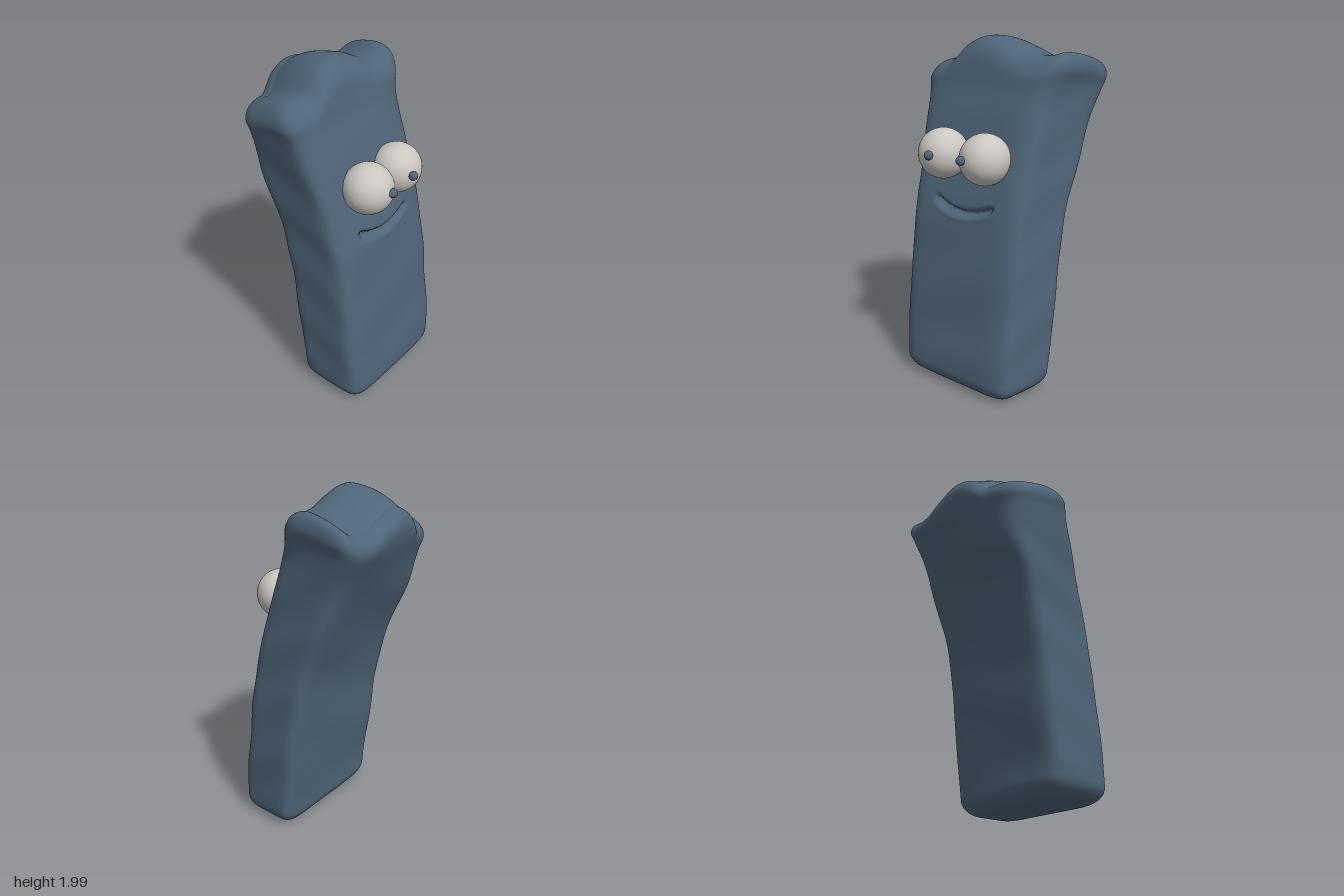
import * as THREE from 'three';

const SEG = 200;

// Smooth interpolation of rows [key, a, b, ...] at a key value
function sample(rows, t) {
  const last = rows.length - 1;
  t = Math.min(Math.max(t, rows[0][0]), rows[last][0]);
  let i = 0;
  while (i < last - 1 && t > rows[i + 1][0]) i++;
  const slope = (n, k) => {
    const a = rows[Math.max(n - 1, 0)], b = rows[Math.min(n + 1, last)];
    return (b[k] - a[k]) / (b[0] - a[0]);
  };
  const d = rows[i + 1][0] - rows[i][0];
  const f = (t - rows[i][0]) / d, f2 = f * f, f3 = f2 * f;
  return rows[i].slice(1).map((v, n) =>
    (2 * f3 - 3 * f2 + 1) * v + (f3 - 2 * f2 + f) * d * slope(i, n + 1)
    + (3 * f2 - 2 * f3) * rows[i + 1][n + 1] + (f3 - f2) * d * slope(i + 1, n + 1));
}

// Lean of the slab: height, centre x, half thickness
const lean = [
  [0, 0.2275, 0.2175], [0.2, 0.221, 0.219], [0.4, 0.194, 0.221], [0.6, 0.17, 0.223],
  [0.8, 0.143, 0.223], [1.0, 0.105, 0.229], [1.2, 0.0435, 0.2385], [1.4, -0.03, 0.25],
  [1.6, -0.1, 0.262], [1.72, -0.145, 0.27], [1.8, -0.165, 0.272], [1.9, -0.185, 0.268],
  [2.0, -0.2, 0.262],
];

// Width of the slab: height, centre z, half width
const width = [
  [0, -0.06, 0.395], [0.2, -0.058, 0.407], [0.6, -0.05, 0.41], [1.0, -0.035, 0.405],
  [1.2, -0.02, 0.41], [1.4, -0.003, 0.418], [1.6, 0.012, 0.427], [1.72, 0.015, 0.443],
  [1.8, 0.012, 0.464], [1.95, 0.008, 0.464],
];

// Wavy height of the top across the width: z, y
const topLine = [
  [-0.47, 1.955], [-0.43, 1.96], [-0.33, 1.915], [-0.2, 1.92], [-0.1, 1.96],
  [0.06, 2.0], [0.18, 1.965], [0.28, 1.87], [0.36, 1.855], [0.47, 1.84],
];

// Path from the middle of the base, up the wall, to the middle of the top
function ringPath() {
  const path = [], R = 0.1, topX = 0.11, topZ = 0.09, topY = 0.12;
  for (let i = 0; i < 10; i++) path.push({ y: 0.01, insetX: R, insetZ: R, q: i / 10 });
  for (let i = 0; i <= 10; i++) {
    const a = i / 10 * Math.PI / 2, inset = R * (1 - Math.sin(a));
    path.push({ y: 0.01 + R * (1 - Math.cos(a)), insetX: inset, insetZ: inset, q: 1 });
  }
  for (let i = 1; i < 140; i++) path.push({ y: 0.11 + 1.67 * i / 140, insetX: 0, insetZ: 0, q: 1 });
  for (let i = 0; i <= 12; i++) {
    const a = i / 12 * Math.PI / 2, inset = 1 - Math.cos(a);
    path.push({ y: 1.9 + topY * (Math.sin(a) - 1), insetX: topX * inset, insetZ: topZ * inset, q: 1 });
  }
  for (let i = 23; i >= 0; i--) path.push({ y: 1.9, insetX: topX, insetZ: topZ, q: i / 24 });
  return path;
}

function bodyGeometry() {
  const positions = [], index = [], path = ringPath();
  path.forEach(({ y: base, insetX, insetZ, q }, r) => {
    const [cz, hz] = sample(width, base);
    const lift = THREE.MathUtils.smoothstep(base, 1.3, 1.9);
    const n = 7 - 2.2 * lift;
    for (let j = 0; j < SEG; j++) {
      // Rounded rectangle cross-section, softer towards the top
      const a = j / SEG * Math.PI * 2, c = Math.cos(a), s = Math.sin(a);
      const rad = Math.pow(Math.abs(c) ** n + Math.abs(s) ** n, -1 / n);
      const u = c * rad * q, w = s * rad * q;
      let z = cz + w * (hz - insetZ) - 0.035 * (1 - lift) * u * Math.max(w, 0);
      // Wavy top, falling away towards the back
      const fall = 0.0225 * (1 - u) ** 2;
      const y = base + lift * (sample(topLine, z)[0] - 1.9 - fall);
      const [cx, hx] = sample(lean, y);
      const skew = 0.14 + 0.03 * THREE.MathUtils.lerp(u, 1, lift);
      let x = cx + u * (hx - insetX) + skew * z;
      // Hand-shaped unevenness
      z += w * 0.003 * Math.sin(y * 17 + u * 2);
      x += u * 0.003 * Math.sin(y * 13 + z * 6);
      // Smile groove with a slight lower lip on the face
      if (u > 0.8 && Math.abs(y - 1.08) < 0.15) {
        const m = (z + 0.055) / 0.205;
        const d = y - (1.052 + 0.055 * m * m);
        const fade = 1 - THREE.MathUtils.smoothstep(Math.abs(m), 0.85, 1.08);
        x -= fade * (0.045 * Math.exp(-((d / 0.017) ** 2))
          - 0.004 * Math.exp(-(((d + 0.03) / 0.015) ** 2)));
      }
      positions.push(x, y, z);
      if (r < path.length - 1) {
        const p = r * SEG + j, next = r * SEG + (j + 1) % SEG;
        if (r > 0) index.push(p, p + SEG, next);
        else index.push(p, p + SEG, next + SEG);
        if (r > 0 && r < path.length - 2) index.push(next, p + SEG, next + SEG);
      }
    }
  });
  const geometry = new THREE.BufferGeometry();
  geometry.setAttribute('position', new THREE.Float32BufferAttribute(positions, 3));
  geometry.setIndex(index);
  geometry.computeVertexNormals();
  return geometry;
}

export function createModel() {
  const group = new THREE.Group();
  const blue = new THREE.MeshStandardMaterial({ color: 0x4f6579 });
  blue.name = 'slateBlue';
  const white = new THREE.MeshStandardMaterial({ color: 0xcac6c0 });
  white.name = 'eyeWhite';

  const add = (name, geometry, material, position = [0, 0, 0]) => {
    const mesh = new THREE.Mesh(geometry, material);
    mesh.name = name;
    mesh.position.set(...position);
    group.add(mesh);
  };

  add('body', bodyGeometry(), blue);

  // Bulging eyes with small bead pupils
  const ball = new THREE.SphereGeometry(0.143, 48, 32);
  const bead = new THREE.SphereGeometry(0.026, 20, 14);
  add('leftEye', ball, white, [0.318, 1.373, 0.086]);
  add('rightEye', ball, white, [0.248, 1.373, -0.19]);
  add('leftPupil', bead, blue, [0.456, 1.387, 0.038]);
  add('rightPupil', bead, blue, [0.4, 1.387, -0.17]);
  return group;
}
